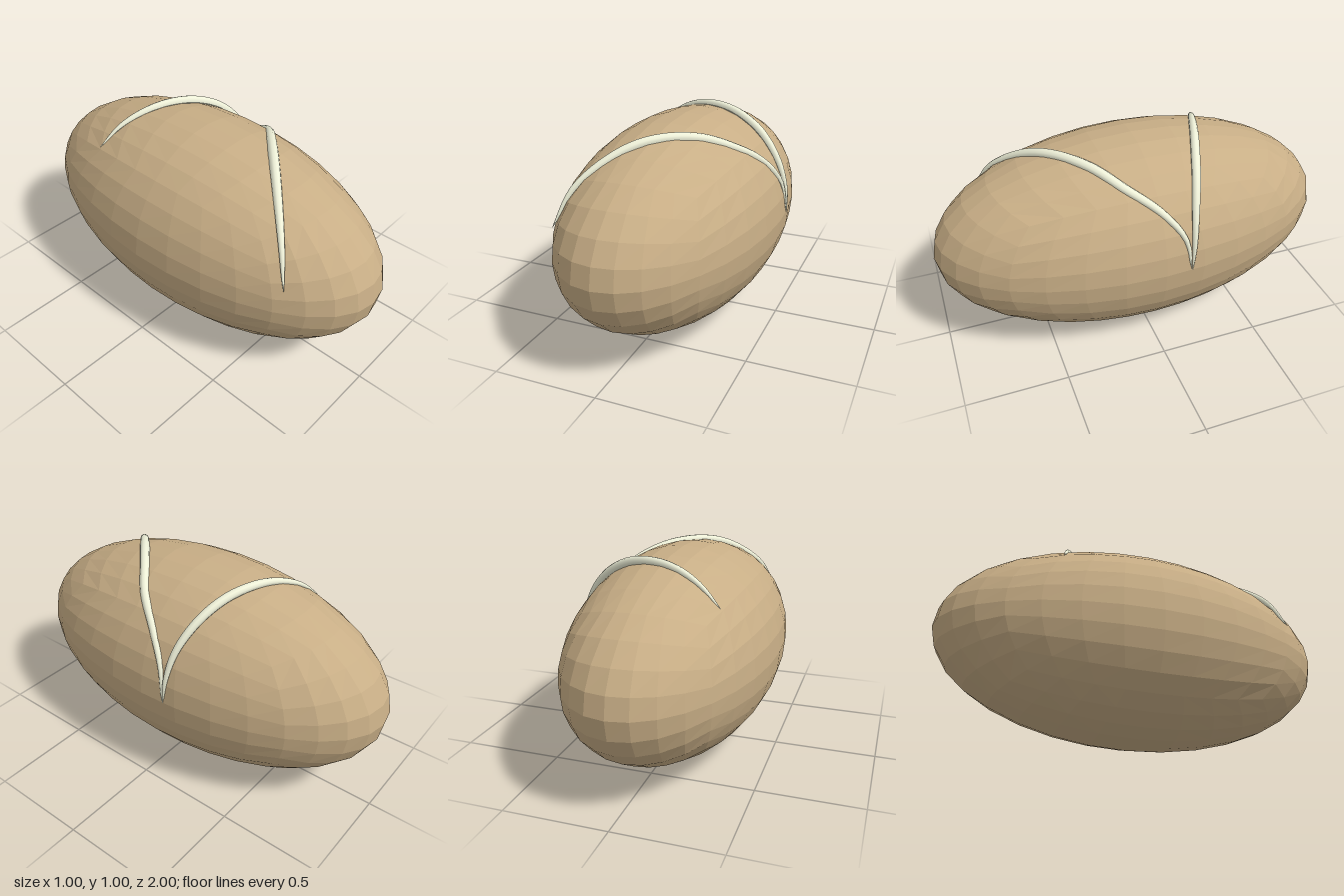
import * as THREE from 'three';
import { mergeVertices } from 'three/addons/utils/BufferGeometryUtils.js';

const RADII = new THREE.Vector3(0.5, 0.5, 1);
const MID_Y = 0.5;

// Ellipsoid made from a cube grid with evenly spaced angles
function bodyGeometry() {
  const geo = new THREE.BoxGeometry(2, 2, 2, 8, 8, 8);
  const pos = geo.attributes.position;
  const v = new THREE.Vector3();
  const warp = (t) => Math.tan((t * Math.PI) / 4);
  for (let i = 0; i < pos.count; i++) {
    v.fromBufferAttribute(pos, i);
    v.set(warp(v.x), warp(v.y), warp(v.z)).normalize().multiply(RADII);
    pos.setXYZ(i, v.x, v.y + MID_Y, v.z);
  }
  geo.deleteAttribute('normal');
  geo.deleteAttribute('uv');
  const welded = mergeVertices(geo);
  welded.computeVertexNormals();
  return welded;
}

// Project a point onto the body, then move it along the surface normal
function onBody([x, y, z, lift]) {
  const p = new THREE.Vector3(x, y - MID_Y, z).divide(RADII).normalize();
  const normal = p.clone().divide(RADII).normalize();
  return p.multiply(RADII).addScaledVector(normal, lift).add(new THREE.Vector3(0, MID_Y, 0));
}

// Tube that tapers to a point at both ends
function taperedTube(points, radius) {
  const segments = 40, sides = 10;
  const curve = new THREE.CatmullRomCurve3(points.map(onBody));
  const geo = new THREE.TubeGeometry(curve, segments, radius, sides, false);
  const pos = geo.attributes.position;
  const v = new THREE.Vector3();
  for (let i = 0; i <= segments; i++) {
    const t = i / segments;
    const centre = curve.getPointAt(t);
    const taper = Math.max(0.04, Math.pow(Math.sin(Math.PI * t), 0.6));
    for (let j = 0; j <= sides; j++) {
      const k = i * (sides + 1) + j;
      v.fromBufferAttribute(pos, k).sub(centre).multiplyScalar(taper).add(centre);
      pos.setXYZ(k, v.x, v.y, v.z);
    }
  }
  geo.computeVertexNormals();
  return geo;
}

export function createModel() {
  const model = new THREE.Group();
  const tan = new THREE.MeshStandardMaterial({ color: 0xc8ae86, flatShading: true });
  const cream = new THREE.MeshStandardMaterial({ color: 0xeef0d8 });
  const add = (name, geo, mat) => {
    const mesh = new THREE.Mesh(geo, mat);
    mesh.name = name;
    model.add(mesh);
  };

  add('body', bodyGeometry(), tan);

  // Raised strips crossing the top and meeting on the left side: x, y, z, lift
  add('frontStrip', taperedTube([
    [-0.32, 0.62, 0.74, 0.008],
    [-0.25, 0.79, 0.66, 0.006],
    [-0.1, 0.92, 0.5, 0.002],
    [0.02, 0.96, 0.385, 0],
    [0.17, 0.952, 0.25, -0.006],
    [0.295, 0.89, 0.135, -0.009],
    [0.4, 0.8, 0, -0.007],
    [0.47, 0.67, -0.1, -0.002],
    [0.496, 0.51, -0.125, 0],
  ], 0.025), cream);

  add('backStrip', taperedTube([
    [-0.31, 0.825, -0.44, 0],
    [-0.2, 0.912, -0.4, 0.003],
    [-0.06, 0.967, -0.345, 0.005],
    [0.08, 0.97, -0.29, 0.008],
    [0.2, 0.943, -0.245, 0.012],
    [0.32, 0.873, -0.2, 0.013],
    [0.42, 0.76, -0.16, 0.009],
    [0.475, 0.63, -0.14, 0.003],
    [0.496, 0.5, -0.13, 0],
  ], 0.022), cream);

  return model;
}
